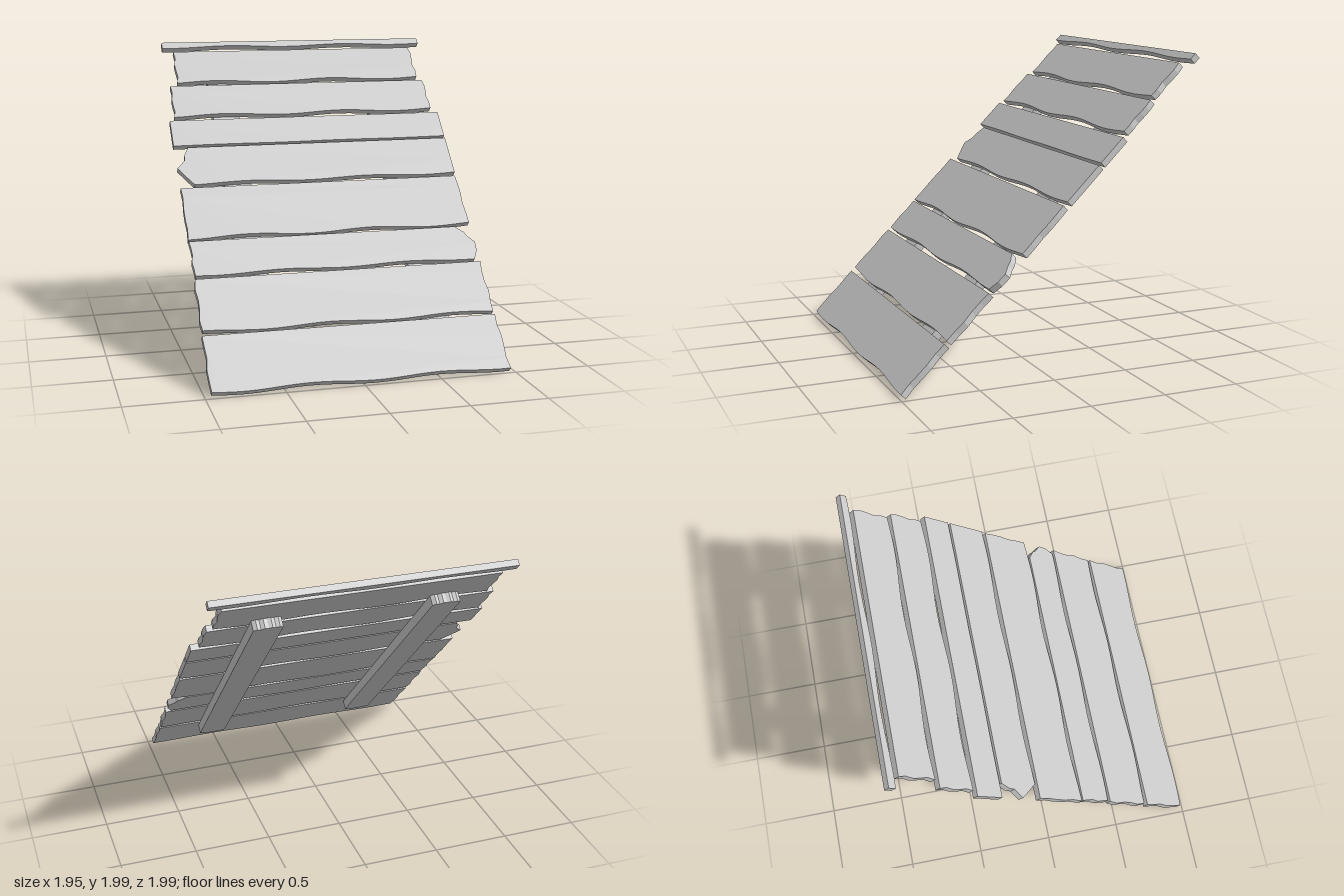
import * as THREE from 'three';

const T = 0.042;            // plank thickness
const BEAM = 0.064;         // beam thickness
const slope = (y) => (y - 1.015) * Math.SQRT2;   // height on the upper face -> distance along the slope

// Planks, lowest first: heights of the edges, ends, phase and size of the wavy lower edge, wear of the ends.
// A broken end is given as [inset, fraction down] points.
const PLANKS = [
  { top: 0.315, bottom: 0.042, x0: -0.97, x1: 0.97, phase: 4.1, wave: 0.007, wear: 0.012 },
  { top: 0.602, bottom: 0.333, x0: -0.97, x1: 0.97, phase: 2.6, wave: 0.007, wear: 0.014 },
  { top: 0.803, bottom: 0.622, x0: -0.965, x1: 0.97, phase: -1.9, wave: 0.006, wear: 0.012,
    right: [[0.115, 0], [0.06, 0.18], [0.045, 0.3], [0, 0.5], [0.004, 0.75], [0.035, 1]] },
  { top: 1.1, bottom: 0.82, x0: -0.97, x1: 0.97, phase: -0.5, wave: 0.008, wear: 0.008 },
  { top: 1.335, bottom: 1.122, x0: -0.97, x1: 0.97, phase: -0.9, wave: 0.006, wear: 0,
    left: [[0.09, 0], [0.06, 0.2], [0.055, 0.35], [0, 0.55], [0.05, 0.78], [0.1, 1]] },
  { top: 1.5, bottom: 1.348, x0: -0.975, x1: 0.97, phase: 0, wave: 0.001, wear: 0 },
  { top: 1.715, bottom: 1.527, x0: -0.942, x1: 0.93, phase: -0.3, wave: 0.008, wear: 0.012 },
  { top: 1.937, bottom: 1.737, x0: -0.887, x1: 0.893, phase: -0.1, wave: 0.008, wear: 0.014 },
  { top: 2.0, bottom: 1.967, x0: -0.955, x1: 0.97, phase: -1.2, wave: 0.006, wear: 0 },
];

// Outline on the sloping plane extruded along its normal
function slab(points, depth, material, name, z) {
  const shape = new THREE.Shape(points.map(([x, y]) => new THREE.Vector2(x, y)));
  const geometry = new THREE.ExtrudeGeometry(shape, { depth, bevelEnabled: false });
  geometry.translate(0, 0, z);
  const mesh = new THREE.Mesh(geometry, material);
  mesh.name = name;
  return mesh;
}

// Slightly uneven sawn end, from the top edge down
function wornEnd(wear, phase) {
  return Array.from({ length: 6 }, (_, i) =>
    [wear * (0.5 + 0.5 * Math.sin(i * 2.1 + phase)), i / 5]);
}

function plankOutline({ top, bottom, x0, x1, phase, wave, wear, left, right }) {
  const leftEnd = left ?? wornEnd(wear, phase);
  const rightEnd = right ?? wornEnd(wear, phase + 2);
  const ripple = (x) => wave * Math.sin(7.5 * x + phase);
  const at = (x, f) => [x, slope(top + (bottom + ripple(x) - top) * f)];
  const a = x0 + leftEnd.at(-1)[0];
  const b = x1 - rightEnd.at(-1)[0];
  const points = leftEnd.map(([inset, f]) => at(x0 + inset, f));
  for (let i = 1; i < 28; i++) points.push(at(a + (b - a) * i / 28, 1));
  rightEnd.toReversed().forEach(([inset, f]) => points.push(at(x1 - inset, f)));
  return points;
}

export function createModel() {
  const wood = new THREE.MeshStandardMaterial({ color: 0xcccccc });
  wood.name = 'pale grey wood';

  const model = new THREE.Group();
  model.name = 'plankPanel';
  const panel = new THREE.Group();
  panel.name = 'slopingPanel';
  panel.rotation.x = -Math.PI / 4;
  panel.position.y = 1;
  model.add(panel);

  // Planks
  PLANKS.forEach((p, i) =>
    panel.add(slab(plankOutline(p), T, wood, `plank${i + 1}`, -T / 2)));

  // Two support beams underneath with splintered ends
  const splinters = [0.02, 0.005, 0.012, 0, 0.008, 0.002, 0.015, 0.006, 0.022];
  for (const [side, name] of [[1, 'leftBeam'], [-1, 'rightBeam']]) {
    const xAt = (i) => side * 0.57 - 0.093 + 0.186 * i / (splinters.length - 1);
    const lower = splinters.map((s, i) => [xAt(i), -1.093 + s]);
    const upper = splinters.map((s, i) => [xAt(i), 1.093 - s]).reverse();
    panel.add(slab([...lower, ...upper], BEAM, wood, name, -T / 2 - BEAM));
  }
  return model;
}
